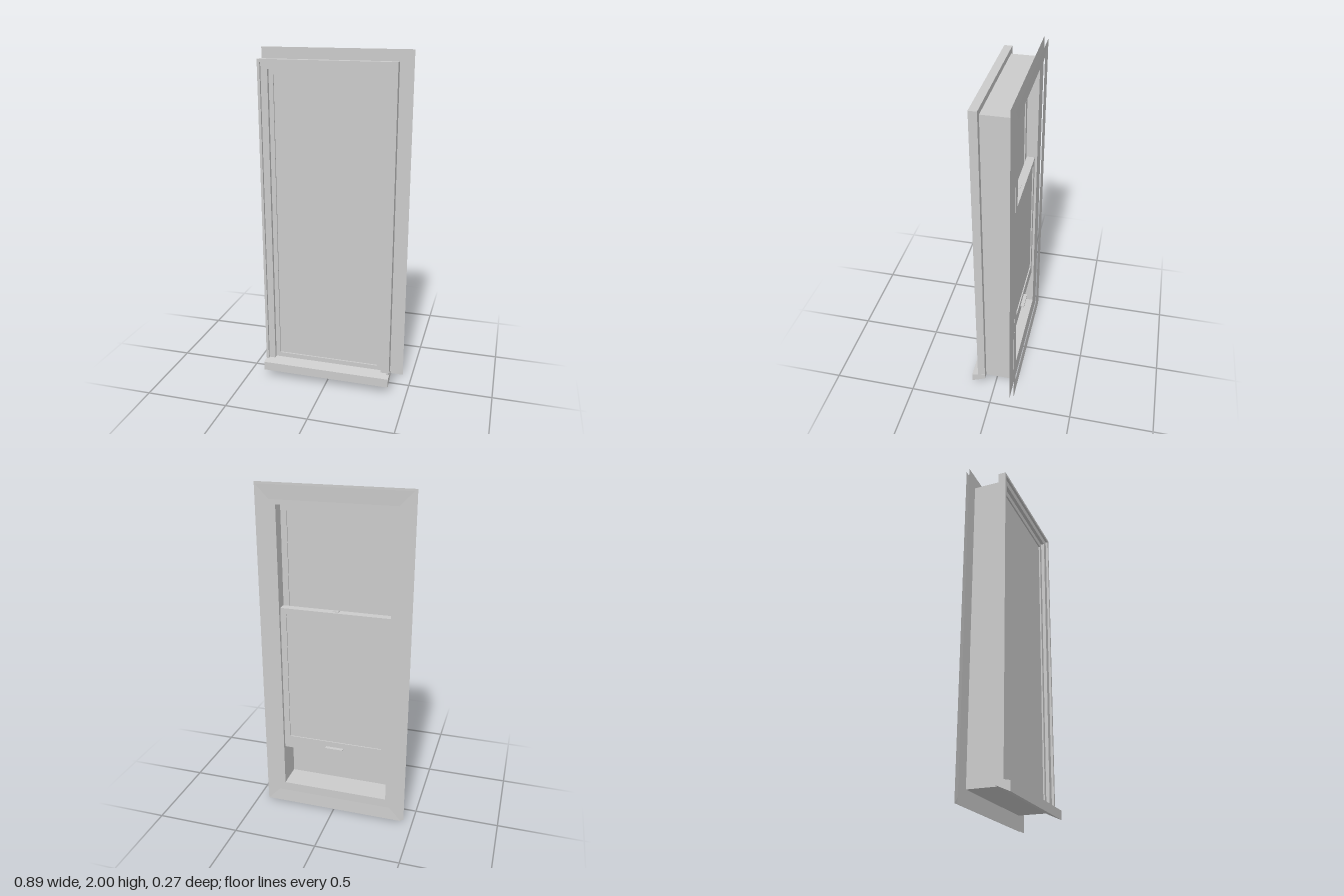
import * as THREE from 'three';

const mat = new THREE.MeshStandardMaterial({ color: 0xcccccc, flatShading: true });
const sheetMat = new THREE.MeshStandardMaterial({ color: 0xcccccc, flatShading: true, side: THREE.DoubleSide });

function add(parent, name, geometry, material = mat) {
  const mesh = new THREE.Mesh(geometry, material);
  mesh.name = name;
  parent.add(mesh);
  return mesh;
}

// Box given by its limits on each axis
function box(parent, name, x0, x1, y0, y1, z0, z1) {
  const g = new THREE.BoxGeometry(x1 - x0, y1 - y0, z1 - z0);
  g.translate((x0 + x1) / 2, (y0 + y1) / 2, (z0 + z1) / 2);
  return add(parent, name, g);
}

const corners = ([w, y0, y1]) => [[-w, y0], [w, y0], [w, y1], [-w, y1]];
const points = (list) => list.map(([x, y]) => new THREE.Vector2(x, y));

// Rectangular surround; outer and inner are [halfWidth, bottom, top].
// When both share a bottom, the surround is open there.
function frame(parent, name, outer, inner, z0, z1) {
  const o = corners(outer), i = corners(inner);
  let shape;
  if (inner[1] <= outer[1]) {
    shape = new THREE.Shape(points([o[0], i[0], i[3], i[2], i[1], o[1], o[2], o[3]]));
  } else {
    shape = new THREE.Shape(points(o));
    shape.holes.push(new THREE.Path(points(i)));
  }
  const g = new THREE.ExtrudeGeometry(shape, { depth: z1 - z0, bevelEnabled: false });
  g.translate(0, 0, z0);
  return add(parent, name, g);
}

// Sash: surround plus a slightly recessed pane
function sash(parent, name, y0, y1, z0, z1, bottomRail, topRail) {
  const group = new THREE.Group();
  group.name = name;
  const pane = [0.288, y0 + bottomRail, y1 - topRail];
  frame(group, 'sashFrame', [0.323, y0, y1], pane, z0, z1);
  box(group, 'glass', -0.288, 0.288, pane[1], pane[2], z0 + 0.007, z1 - 0.007);
  parent.add(group);
  return group;
}

// Mitred interior trim: a thin sheet running from its outer to its inner edge
function trimSheet(outer, inner, zOuter, zInner) {
  const o = corners(outer), i = corners(inner), pos = [];
  for (let k = 0; k < 4; k++) {
    const n = (k + 1) % 4;
    const a = [...o[k], zOuter], b = [...o[n], zOuter];
    const c = [...i[n], zInner], d = [...i[k], zInner];
    pos.push(...a, ...c, ...b, ...a, ...d, ...c);
  }
  const g = new THREE.BufferGeometry();
  g.setAttribute('position', new THREE.Float32BufferAttribute(pos, 3));
  g.computeVertexNormals();
  return g;
}

export function createModel() {
  const model = new THREE.Group();
  model.name = 'window';

  // Wall-depth jamb
  frame(model, 'jamb', [0.357, 0.087, 1.917], [0.325, 0.128, 1.882], -0.113, 0.055);

  // Exterior casing with a raised outer rim
  frame(model, 'casing', [0.39, 0.11, 1.949], [0.336, 0.11, 1.896], 0.055, 0.086);
  frame(model, 'casingRim', [0.39, 0.11, 1.949], [0.375, 0.11, 1.932], 0.086, 0.1);

  // Sloping exterior sill, drawn as (z, y) and run along x
  const sillShape = new THREE.Shape(points([
    [0.055, 0.087], [0.137, 0.05], [0.137, 0.104], [0.055, 0.121],
  ]));
  const sill = new THREE.ExtrudeGeometry(sillShape, { depth: 0.784, bevelEnabled: false });
  sill.rotateY(-Math.PI / 2);
  sill.translate(0.392, 0, 0);
  add(model, 'sill', sill);

  // Full-height outer screen
  frame(model, 'screenFrame', [0.336, 0.115, 1.897], [0.31, 0.147, 1.863], 0.05, 0.066);
  box(model, 'screen', -0.33, 0.33, 0.122, 1.89, 0.044, 0.057);

  // Fixed upper sash and raised lower sash
  sash(model, 'upperSash', 0.975, 1.882, -0.047, 0.001, 0.035, 0.04);
  const lower = sash(model, 'lowerSash', 0.385, 1.295, -0.099, -0.05, 0.08, 0.033);

  // Lift handle and sash lock
  box(lower, 'liftHandle', -0.055, 0.055, 0.425, 0.431, -0.121, -0.099);
  box(lower, 'liftHandleLip', -0.055, 0.055, 0.418, 0.425, -0.121, -0.117);
  box(lower, 'sashLock', -0.018, 0.018, 1.295, 1.299, -0.08, -0.065);

  // Interior trim: a backing sheet against the wall and a raised, sloping face
  add(model, 'trimBacking',
    trimSheet([0.443, 0, 2], [0.35, 0.093, 1.907], -0.113, -0.113), sheetMat);
  add(model, 'trimFace',
    trimSheet([0.43, 0.008, 1.992], [0.355, 0.087, 1.913], -0.137, -0.133), sheetMat);

  return model;
}
